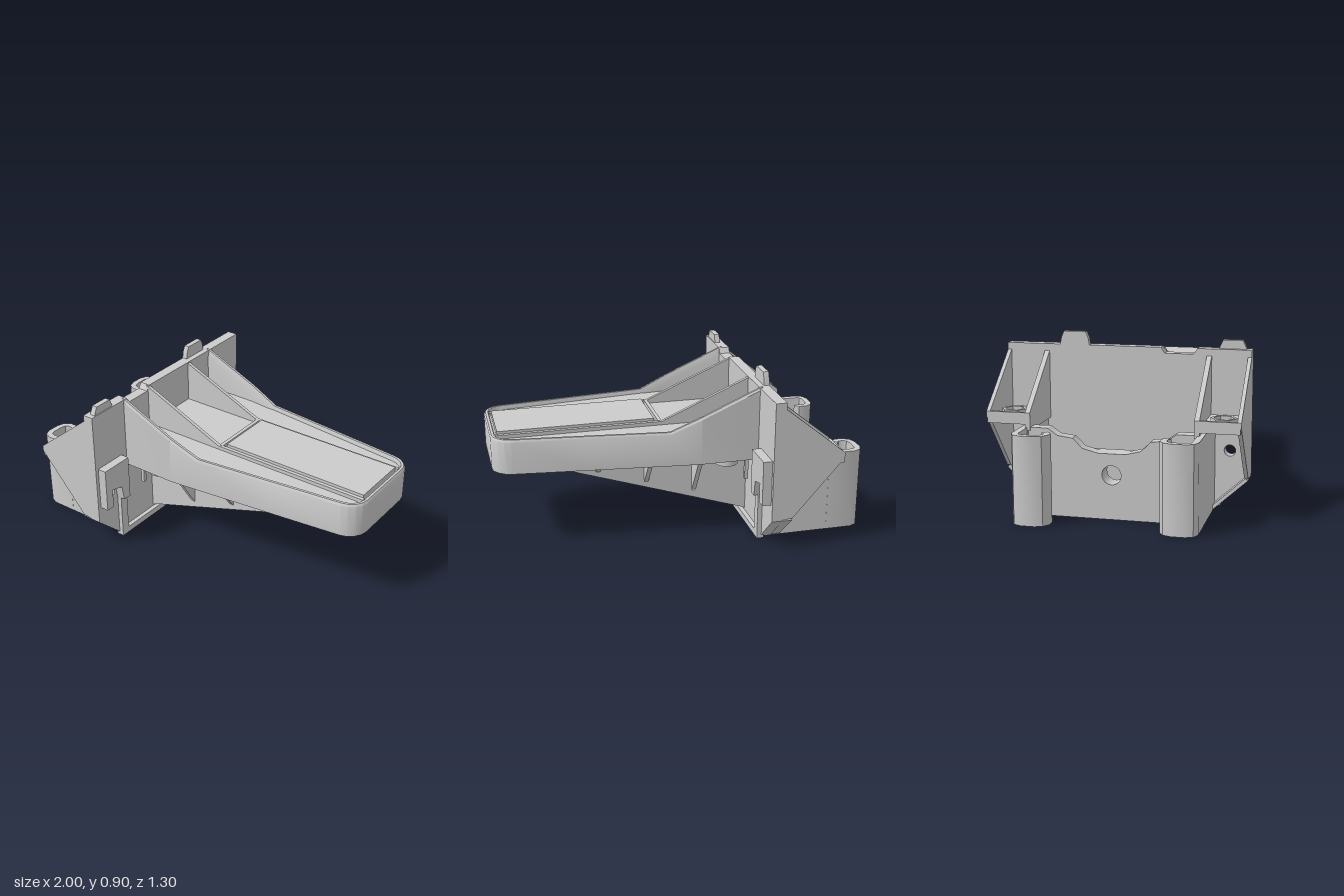
import * as THREE from 'three';
import { toCreasedNormals } from 'three/addons/utils/BufferGeometryUtils.js';

export function createModel() {
  const model = new THREE.Group();
  const mat = new THREE.MeshStandardMaterial({ color: 0xcccccc, side: THREE.DoubleSide });

  const add = (name, geo) => {
    const mesh = new THREE.Mesh(toCreasedNormals(geo, 0.6), mat);
    mesh.name = name;
    model.add(mesh);
  };
  const shapeOf = (pts, holes = []) => {
    const s = new THREE.Shape(pts.map(p => new THREE.Vector2(p[0], p[1])));
    for (const [x, y, r] of holes) {
      const h = new THREE.Path();
      h.absarc(x, y, r, 0, Math.PI * 2, true);
      s.holes.push(h);
    }
    return s;
  };
  const extrude = (shape, depth) =>
    new THREE.ExtrudeGeometry(shape, { depth, bevelEnabled: false, curveSegments: 8 });
  // Profile in x,y with thickness along z
  const alongZ = (name, pts, z, t) => add(name, extrude(shapeOf(pts), t).translate(0, 0, z - t / 2));
  // Outline in x,z raised from y0 to y1
  const alongY = (pts, y0, y1, holes) =>
    extrude(shapeOf(pts, holes), y1 - y0).rotateX(Math.PI / 2).translate(0, y1, 0);
  // Outline in -z,y with thickness along x
  const alongX = (pts, x0, x1, holes) =>
    extrude(shapeOf(pts, holes), x1 - x0).rotateY(Math.PI / 2).translate(x0, 0, 0);
  const box = (name, x0, x1, y0, y1, z0, z1) =>
    add(name, new THREE.BoxGeometry(x1 - x0, y1 - y0, Math.abs(z1 - z0))
      .translate((x0 + x1) / 2, (y0 + y1) / 2, (z0 + z1) / 2));
  // Path moved sideways by d
  const offset = (pts, d) => pts.map((p, i) => {
    const q = pts[Math.max(i - 1, 0)], r = pts[Math.min(i + 1, pts.length - 1)];
    const dx = r[0] - q[0], dy = r[1] - q[1], l = Math.hypot(dx, dy);
    return [p[0] - dy / l * d, p[1] + dx / l * d];
  });
  // Closed outline of a path with constant thickness
  const ribbon = (pts, t) => [...offset(pts, t / 2), ...offset(pts, -t / 2).reverse()];
  const ring = (r0, r1, h, seg) => new THREE.LatheGeometry(
    [[r0, 0], [r1, 0], [r1, h], [r0, h], [r0, 0]].map(p => new THREE.Vector2(...p)), seg);

  // Arm outline: a rounded U, open towards the mounting plate
  const half = [[-0.43, 0.397], [-0.1, 0.397], [0.07, 0.38], [0.5, 0.332], [0.9, 0.286],
    [0.935, 0.276], [0.968, 0.252], [0.99, 0.22], [0.998, 0.185]];
  const outline = [...half, ...half.map(([x, z]) => [x, -z]).reverse()];

  // Arm rim: cross-sections swept around the outline, rising towards the plate
  const section = [[0, 0.43], [0, -0.012], [-0.008, 0], [-0.022, 0], [-0.034, -0.04], [-0.03, 0.43]];
  const rails = section.map(([d]) => offset(outline, d));
  const verts = [], index = [];
  outline.forEach(([x], i) => {
    const top = 0.62 + Math.max(0, 0.07 - x) * 0.44;
    section.forEach(([, y], k) => {
      verts.push(rails[k][i][0], y > 0.1 ? y : top + y, rails[k][i][1]);
      if (i === 0) return;
      const n = section.length, a = (i - 1) * n + k, b = (i - 1) * n + (k + 1) % n;
      index.push(a, a + n, b, b, a + n, b + n);
    });
  });
  const rim = new THREE.BufferGeometry();
  rim.setAttribute('position', new THREE.Float32BufferAttribute(verts, 3));
  rim.setIndex(index);
  add('armRim', rim);

  // Arm floor with two screw holes, and the raised pad
  add('armFloor', alongY(offset(outline, -0.015), 0.575, 0.597,
    [[-0.27, 0.285, 0.03], [-0.27, -0.285, 0.03]]));
  box('armPad', 0.11, 0.96, 0.59, 0.63, -0.165, 0.165);
  box('padEndRib', 0.07, 0.09, 0.59, 0.618, -0.178, 0.178);

  // Long webs: raised above the floor, triangular below it
  const under = x => 0.06 + (x + 0.38) * 0.33;
  const ribX = [-0.11, 0.16, 0.43];
  for (const s of [1, -1]) {
    alongZ('longWeb', [[-0.43, 0.835], [0.07, 0.617], [0.97, 0.617], [0.97, 0.57],
      [0.75, 0.43], [-0.385, 0.058], [-0.43, 0.04]], s * 0.18, 0.02);
    // Side gussets and screw bosses
    for (const x of ribX) {
      const reach = 0.38 - Math.max(0, x + 0.1) * 0.112;
      add('sideGusset', alongX([[s * 0.18, 0.58], [s * reach, 0.58], [s * (reach - 0.03), 0.435],
        [s * 0.18, under(x) + 0.02]], x - 0.012, x + 0.012));
    }
    add('screwBoss', ring(0.03, 0.062, 0.2, 16).translate(-0.27, 0.38, s * 0.285));
    box('bossFin', -0.39, -0.37, 0.28, 0.58, s * 0.29, s * 0.31);
  }
  // Arched ribs between the webs
  for (const x of ribX) {
    const low = Math.max(under(x) + 0.12, 0.33);
    const mid = Math.max(low + 0.05, 0.43);
    add('crossRib', alongX([[-0.18, 0.58], [-0.18, low], [-0.1, low + 0.02], [-0.05, mid],
      [0.05, mid], [0.1, low + 0.02], [0.18, low], [0.18, 0.58]], x - 0.01, x + 0.01));
  }
  // Flared boss under the tip
  add('tipBoss', new THREE.LatheGeometry([[0.025, 0.57], [0.025, 0.41], [0.05, 0.41], [0.055, 0.5],
    [0.075, 0.55], [0.11, 0.58]].map(p => new THREE.Vector2(...p)), 16).translate(0.7, 0, 0));

  // Mounting plate with chamfered lower corners and through holes
  add('mountPlate', alongX([[-0.47, 0], [0.47, 0], [0.65, 0.17], [0.65, 0.835], [-0.18, 0.835],
    [-0.2, 0.805], [-0.35, 0.805], [-0.37, 0.835], [-0.65, 0.835], [-0.65, 0.17]],
    -0.475, -0.415, [[0, 0.23, 0.05], [0.545, 0.31, 0.03], [-0.545, 0.31, 0.03]]));
  box('plateFoot', -0.55, -0.39, 0, 0.035, -0.46, 0.46);

  // Collar around the centre hole with side shoulders
  add('centreCollar', ring(0.05, 0.125, 0.06, 20).rotateZ(-Math.PI / 2).translate(-0.425, 0.23, 0));
  for (const s of [1, -1]) box('collarShoulder', -0.425, -0.385, 0.17, 0.27, s * 0.115, s * 0.178);

  // Locating tabs on the top edge
  const tab = (z, w, h, x) => add('topTab', alongX([[-z - w, 0.83], [-z + w, 0.83],
    [-z + w - 0.008, h - 0.03], [-z + w - 0.022, h], [-z - w + 0.022, h], [-z - w + 0.008, h - 0.03]],
    x, x + 0.03));
  tab(0.55, 0.073, 0.88, -0.452);
  tab(-0.28, 0.08, 0.905, -0.478);

  for (const s of [1, -1]) {
    // Side pod: triangular cheek, inner wall, back lip, floor and hexagonal nut seat
    alongZ('podCheek', [[-0.43, 0.835], [-0.81, 0.53], [-0.81, 0.5], [-0.53, 0.18], [-0.43, 0.17]],
      s * 0.64, 0.02);
    alongZ('podInnerWall', [[-0.43, 0.835], [-0.81, 0.53], [-0.81, 0.44], [-0.43, 0.44]],
      s * 0.432, 0.026);
    box('podLip', -0.81, -0.79, 0.47, 0.53, s * 0.43, s * 0.645);
    add('podFloor', alongY([[-0.81, s * 0.43], [-0.43, s * 0.43], [-0.43, s * 0.645],
      [-0.81, s * 0.645]], 0.47, 0.495, [[-0.68, s * 0.545, 0.03]]));
    add('nutSeat', ring(0.052, 0.068, 0.05, 6).translate(-0.68, 0.475, s * 0.545));
    add('podChamfer', alongX(ribbon([[s * 0.642, 0.175], [s * 0.46, 0.01]], 0.018), -0.53, -0.42));

    // Front tab slotted around the side hole, with its long leg
    add('sideTab', alongX([[s * 0.44, 0.26], [s * 0.49, 0.26], [s * 0.505, 0.35], [s * 0.58, 0.37],
      [s * 0.58, 0.26], [s * 0.63, 0.26], [s * 0.63, 0.51], [s * 0.44, 0.51]], -0.43, -0.365));
    box('sideTabLeg', -0.43, -0.39, 0, 0.26, s * 0.44, s * 0.49);

    // Frame side and the curled clip
    box('frameSide', -0.81, -0.43, 0, 0.455, s * 0.432, s * 0.468);
    add('curledClip', alongY(ribbon([[-0.8, 0.452], [-0.945, 0.452], [-0.972, 0.44],
      [-0.983, 0.41], [-0.983, 0.345], [-0.972, 0.312], [-0.945, 0.295], [-0.91, 0.295],
      [-0.89, 0.315]].map(([x, z]) => [x, s * z]), 0.034), 0, 0.455));
  }

  // Rear cross wall with a wavy top edge and a thickened centre
  const wave = [[0.44, 0.455], [0.33, 0.455], [0.28, 0.42], [0.2, 0.41], [0.15, 0.36], [0.07, 0.34]];
  const top = [...wave, ...wave.map(([z, y]) => [-z, y]).reverse()];
  add('rearWall', alongX([[-0.44, 0], [0.44, 0], ...top], -0.8, -0.735, [[0, 0.23, 0.05]]));
  add('rearWallPad', alongX([[-0.17, 0], [0.17, 0], [0.17, 0.28], [0.12, 0.34], [-0.12, 0.34],
    [-0.17, 0.28]], -0.745, -0.7, [[0, 0.23, 0.05]]));

  return model;
}
